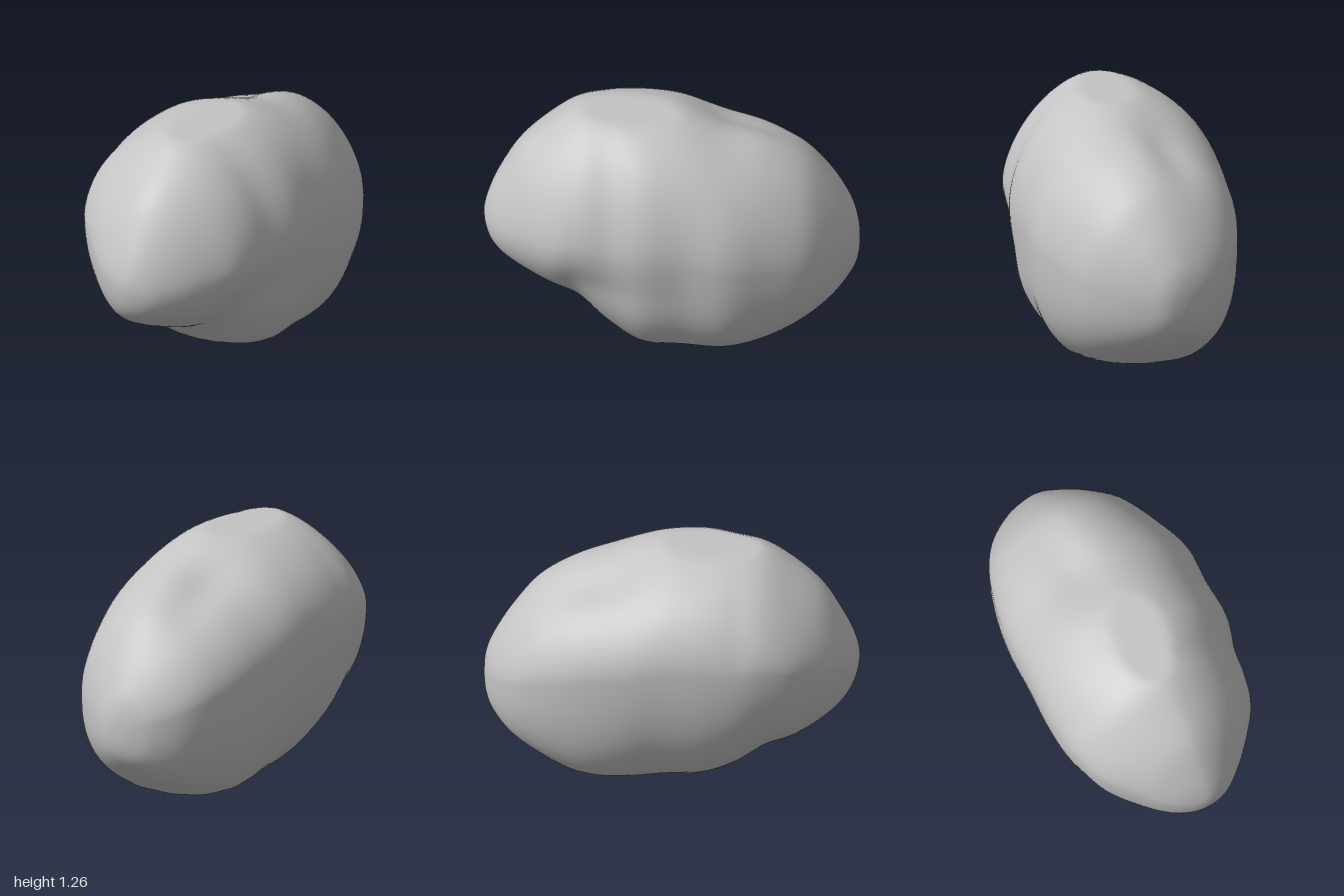
import * as THREE from 'three';
import { mergeVertices, toCreasedNormals } from 'three/addons/utils/BufferGeometryUtils.js';

// Cross-sections from front to back: z, minX, maxX, bottomY, topY, x of the lowest point
const SECTIONS = [
  [1.0, -0.03, -0.03, 0.60, 0.60, -0.03],
  [0.975, -0.14, 0.08, 0.47, 0.72, -0.04],
  [0.91, -0.26, 0.18, 0.37, 0.86, -0.07],
  [0.8, -0.38, 0.30, 0.285, 1.03, -0.11],
  [0.65, -0.50, 0.42, 0.205, 1.16, -0.13],
  [0.5, -0.555, 0.47, 0.14, 1.255, -0.10],
  [0.35, -0.575, 0.50, 0.01, 1.285, -0.02],
  [0.17, -0.575, 0.555, -0.09, 1.285, 0.04],
  [-0.05, -0.555, 0.56, -0.12, 1.262, 0.05],
  [-0.28, -0.53, 0.58, -0.12, 1.18, 0.03],
  [-0.5, -0.485, 0.52, -0.07, 1.115, 0.01],
  [-0.7, -0.41, 0.44, 0.035, 1.0, 0.0],
  [-0.85, -0.31, 0.31, 0.14, 0.83, 0.0],
  [-0.95, -0.18, 0.18, 0.25, 0.67, 0.01],
  [-0.99, -0.07, 0.10, 0.34, 0.56, 0.02],
  [-1.0, 0.02, 0.02, 0.45, 0.45, 0.02],
];
const LAST = SECTIONS.length - 1;

// Sections past either tip are mirrored so the tips close round
function row(k) {
  if (k >= 0 && k <= LAST) return SECTIONS[k];
  const [z, xl, xr, yb, yt, xb] = SECTIONS[k < 0 ? 1 : LAST - 1];
  return [z, xr, xl, yt, yb, xb];
}

// Catmull-Rom blend of neighbouring sections
function sectionAt(t) {
  const i = Math.min(Math.floor(t), LAST - 1), f = t - i;
  return SECTIONS[0].map((_, c) => {
    const p0 = row(i - 1)[c], p1 = row(i)[c], p2 = row(i + 1)[c], p3 = row(i + 2)[c];
    return p1 + 0.5 * f * (p2 - p0 + f * (2 * p0 - 5 * p1 + 4 * p2 - p3 + f * (3 * (p1 - p2) + p3 - p0)));
  });
}

// Soft dents (negative) and bulges (positive): centre, radii, amount
const DENTS = [
  { c: [0.45, 0.42, 0.4], r: [0.3, 0.15, 0.4], a: -0.025 },
  { c: [-0.14, 1.1, -0.42], r: [0.14, 0.25, 0.28], a: -0.04 },
];

function stoneGeometry(rings = 90, sides = 96) {
  const pos = [], index = [];
  const { smoothstep, lerp } = THREE.MathUtils;
  for (let i = 0; i <= rings; i++) {
    const [z, xl, xr, yb, yt, xb] = sectionAt(i / rings * LAST);
    const base = Math.max(yb, 0), xm = (xl + xr) / 2;
    const xt = xm + 0.02 * Math.min(1, xr - xl);
    const front = smoothstep(z, 0.1, 0.65), back = smoothstep(-z, 0, 0.5);
    // Roundness of each quarter: higher is more bevelled, lower is boxier
    const crown = 1.04 + 0.16 * front + 0.06 * back;
    const lowerLeft = 0.92 + 0.04 * front - 0.16 * back;
    const lowerRight = 0.82 + 0.16 * front - 0.04 * back;
    for (let j = 0; j < sides; j++) {
      const a = j / sides * Math.PI * 2, ca = Math.cos(a), sa = Math.sin(a);
      const p = sa > 0 ? crown : ca > 0 ? lowerRight : lowerLeft;
      const c = Math.sign(ca) * Math.abs(ca) ** p, s = Math.sign(sa) * Math.abs(sa) ** p;
      const midY = base + (yt - base) * (0.55 - 0.06 * c - 0.03 * front);
      const midX = lerp(xm, s > 0 ? xt : xb, Math.abs(s));
      let x = midX + (c > 0 ? xr - midX : midX - xl) * c;
      let y = midY + (s > 0 ? yt - midY : midY - yb) * s;
      let push = 0;
      for (const d of DENTS) {
        const q = ((x - d.c[0]) / d.r[0]) ** 2 + ((y - d.c[1]) / d.r[1]) ** 2 + ((z - d.c[2]) / d.r[2]) ** 2;
        push += d.a * Math.exp(-q);
      }
      x += push * c;
      y += push * s;
      // Flat underside and worn flat crown
      pos.push(x, Math.min(1.26, Math.max(0, y)), z);
    }
  }
  for (let i = 0; i < rings; i++) for (let j = 0; j < sides; j++) {
    const k = (j + 1) % sides;
    const a = i * sides + j, b = a + sides, d = i * sides + k, e = d + sides;
    if (i < rings - 1) index.push(a, b, e);
    if (i > 0) index.push(a, e, d);
  }
  const g = new THREE.BufferGeometry();
  g.setAttribute('position', new THREE.Float32BufferAttribute(pos, 3));
  g.setIndex(index);
  return toCreasedNormals(mergeVertices(g, 1e-5), 0.6);
}

export function createModel() {
  const group = new THREE.Group();
  group.name = 'boulder';
  const stoneGrey = new THREE.MeshStandardMaterial({ color: 0xc4c4c4 });
  stoneGrey.name = 'stone grey';
  const stone = new THREE.Mesh(stoneGeometry(), stoneGrey);
  stone.name = 'stone';
  group.add(stone);
  return group;
}
